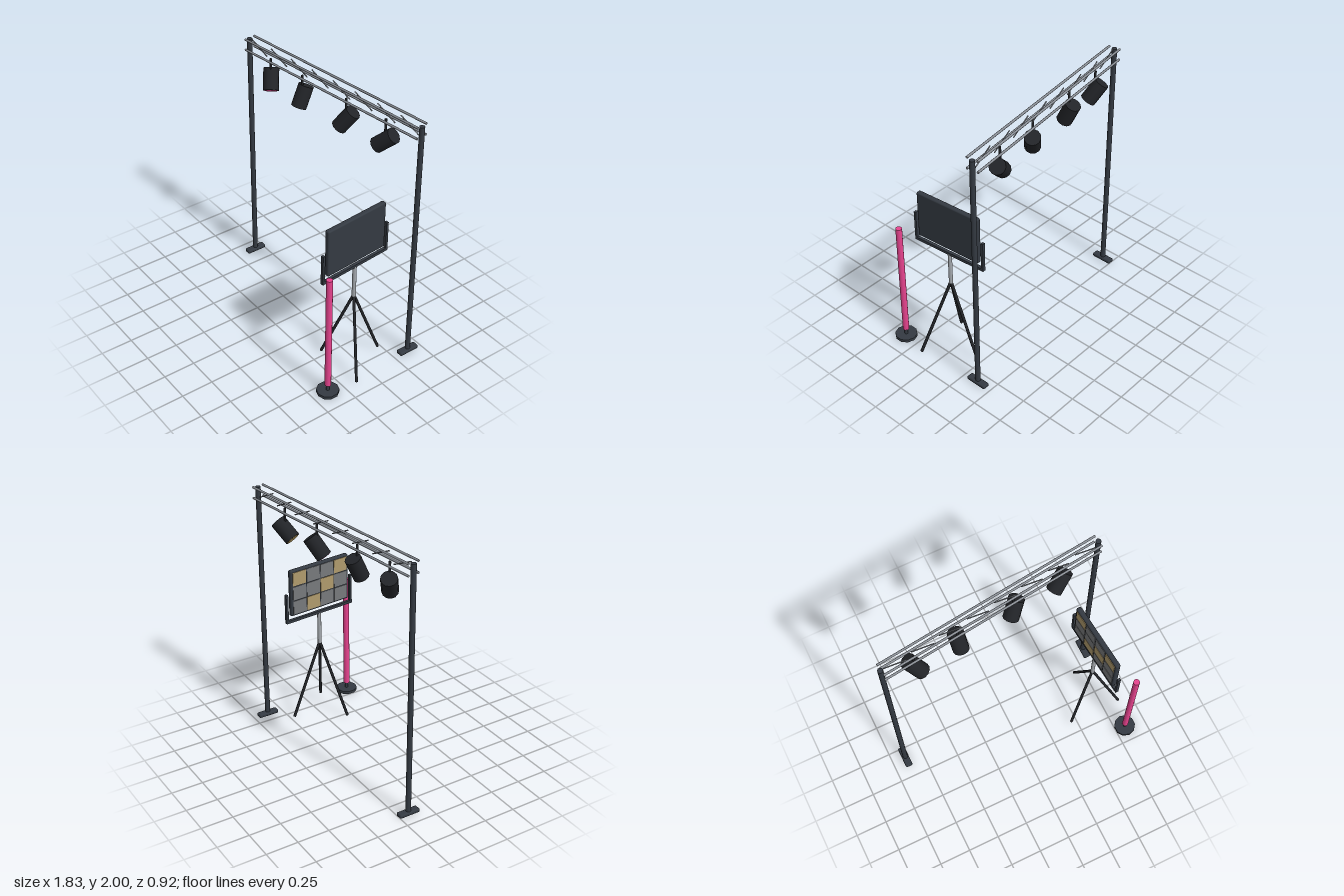
import * as THREE from 'three';
import { RoundedBoxGeometry } from 'three/addons/geometries/RoundedBoxGeometry.js';

const mat = (color) => new THREE.MeshStandardMaterial({ color });
const frameMat = mat(0x343a42);
const darkMat = mat(0x222428);
const steelMat = mat(0x8a8f96);
const poleMat = mat(0xa4a9ae);
const pinkMat = mat(0xe8438f);
const amberMat = mat(0xe0c078);
const tanMat = mat(0xb09a6c);
const greyMat = mat(0x77797c);

const V = (x, y, z) => new THREE.Vector3(x, y, z);

function add(parent, name, geometry, material, x = 0, y = 0, z = 0) {
  const mesh = new THREE.Mesh(geometry, material);
  mesh.name = name;
  mesh.position.set(x, y, z);
  parent.add(mesh);
  return mesh;
}

function group(parent, name, x = 0, y = 0, z = 0) {
  const g = new THREE.Group();
  g.name = name;
  g.position.set(x, y, z);
  parent.add(g);
  return g;
}

// Round bar between two points
function rod(parent, name, a, b, radius, material, sides = 8) {
  const d = b.clone().sub(a);
  const m = add(parent, name, new THREE.CylinderGeometry(radius, radius, d.length(), sides), material);
  m.position.copy(a).add(b).multiplyScalar(0.5);
  m.quaternion.setFromUnitVectors(V(0, 1, 0), d.normalize());
  return m;
}

// Posts and overhead truss
const LEFT_END = V(-0.89, 0, -0.17);
const RIGHT_END = V(0.835, 0, -0.38);

function buildGantry(parent) {
  const gantry = group(parent, 'gantry');
  for (const p of [LEFT_END, RIGHT_END]) {
    rod(gantry, 'post', V(p.x, 0.02, p.z), V(p.x, 1.985, p.z), 0.02, frameMat, 12);
    add(gantry, 'postFoot', new RoundedBoxGeometry(0.057, 0.032, 0.17, 2, 0.012), frameMat, p.x, 0.019, p.z);
  }

  const span = RIGHT_END.clone().sub(LEFT_END);
  const length = span.length();
  const truss = group(gantry, 'truss', (LEFT_END.x + RIGHT_END.x) / 2, 0, (LEFT_END.z + RIGHT_END.z) / 2);
  truss.rotation.y = Math.atan2(-span.z, span.x);
  for (const y of [1.905, 1.99]) {
    for (const z of [-0.043, 0.043]) {
      rod(truss, 'chord', V(-length / 2, y, z), V(length / 2, y, z), 0.009, steelMat);
    }
  }
  const bays = 8;
  for (let i = 0; i < bays; i++) {
    const x = -length / 2 + (i + 0.5) * length / bays;
    rod(truss, 'diagonalBrace', V(x - 0.085, 1.988, 0), V(x + 0.085, 1.907, 0), 0.005, steelMat, 6);
  }
}

// Hanging spotlights, each aimed along a direction
function buildSpot(parent, x, z, aim, lensMat) {
  const spot = group(parent, 'spotlight', x, 1.738, z);
  rod(spot, 'hanger', V(0, 0.03, 0), V(0, 0.172, 0), 0.009, darkMat);
  const head = group(spot, 'lampHead');
  head.quaternion.setFromUnitVectors(V(0, -1, 0), aim.normalize());
  add(head, 'can', new THREE.CylinderGeometry(0.06, 0.06, 0.17, 12), darkMat);
  add(head, 'lens', new THREE.CylinderGeometry(0.05, 0.05, 0.006, 12), lensMat, 0, -0.085, 0);
}

// Tripod with a tilting lamp panel
function buildPanelStand(parent) {
  const stand = group(parent, 'panelStand', 0.672, 0, 0.027);
  for (let i = 0; i < 3; i++) {
    const a = -Math.PI / 2 + i * Math.PI * 2 / 3;
    rod(stand, 'tripodLeg', V(0, 0.64, 0), V(Math.cos(a) * 0.248, 0.017, Math.sin(a) * 0.248), 0.0115, darkMat);
  }
  rod(stand, 'pole', V(0, 0.63, 0), V(0, 0.9, 0), 0.0155, poleMat, 12);

  const head = group(stand, 'panelHead');
  head.rotation.y = 0.087;
  add(head, 'yokeBar', new THREE.BoxGeometry(0.024, 0.022, 0.62), frameMat, 0, 0.905, 0);
  for (const s of [-1, 1]) {
    add(head, 'yokeArm', new THREE.BoxGeometry(0.024, 0.245, 0.019), frameMat, 0, 1.0175, s * 0.303);
  }
  add(head, 'panelCase', new RoundedBoxGeometry(0.04, 0.385, 0.545, 2, 0.012), frameMat, 0, 1.143, 0);

  // 4 x 3 grid of light cells, every third one warm
  for (let i = 0; i < 12; i++) {
    const col = i % 4, row = Math.floor(i / 4);
    add(head, 'lightCell', new THREE.BoxGeometry(0.006, 0.112, 0.121), i % 3 ? greyMat : tanMat,
      -0.021, 1.143 + (1 - row) * 0.12, (col - 1.5) * 0.129);
  }
}

// Upright glowing tube on a round base
function buildTubeLight(parent) {
  const tube = group(parent, 'tubeLight', 0.832, 0, 0.374);
  add(tube, 'tubeBase', new THREE.CylinderGeometry(0.085, 0.085, 0.024, 10), frameMat, 0, 0.016, 0);
  add(tube, 'tubeSocket', new THREE.CylinderGeometry(0.014, 0.014, 0.06, 10), frameMat, 0, 0.05, 0);
  add(tube, 'tube', new THREE.CylinderGeometry(0.0245, 0.0245, 0.965, 12), pinkMat, 0, 0.557, 0);
}

export function createModel() {
  const model = new THREE.Group();
  model.name = 'stageLightingRig';
  buildGantry(model);
  buildSpot(model, -0.648, -0.192, V(0.45, -0.81, 0.36), pinkMat);
  buildSpot(model, -0.306, -0.232, V(0.03, -0.9, 0.42), amberMat);
  buildSpot(model, 0.143, -0.285, V(-0.45, -0.8, 0.38), pinkMat);
  buildSpot(model, 0.522, -0.331, V(-0.67, -0.66, 0.33), amberMat);
  buildPanelStand(model);
  buildTubeLight(model);
  return model;
}
